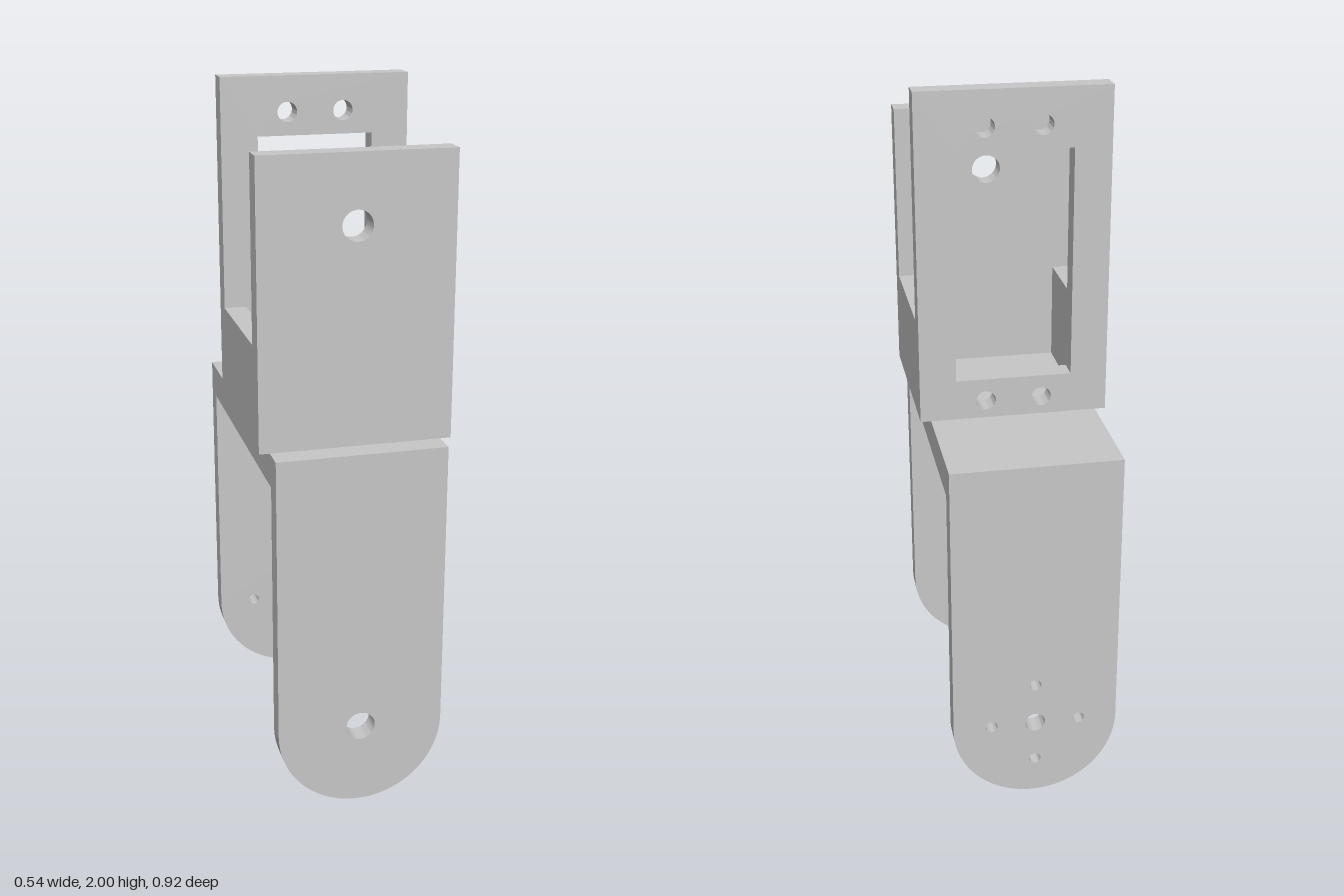
import * as THREE from 'three';
import { toCreasedNormals } from 'three/addons/utils/BufferGeometryUtils.js';

export function createModel() {
  const model = new THREE.Group();
  model.name = 'servoBracket';
  const grey = new THREE.MeshStandardMaterial({ color: 0xc7c7c7 });
  grey.name = 'lightGrey';

  const add = (name, geometry, x, y, z) => {
    const mesh = new THREE.Mesh(geometry, grey);
    mesh.name = name;
    mesh.position.set(x, y, z);
    model.add(mesh);
  };

  // Flat plate from an outline, with round holes given as [x, y, radius]
  const plate = (name, shape, holes, z0, z1) => {
    for (const [x, y, r] of holes) {
      shape.holes.push(new THREE.Path().absarc(x, y, r, 0, Math.PI * 2, true));
    }
    const geometry = new THREE.ExtrudeGeometry(shape, {
      depth: z1 - z0, bevelEnabled: false, curveSegments: 24,
    });
    add(name, toCreasedNormals(geometry, 0.6), 0, 0, z0);
  };

  const box = (name, x0, x1, y0, y1, z0, z1) => add(
    name, new THREE.BoxGeometry(x1 - x0, y1 - y0, z1 - z0),
    (x0 + x1) / 2, (y0 + y1) / 2, (z0 + z1) / 2,
  );

  const rectangle = (Type, w, y0, y1) => new Type([
    new THREE.Vector2(-w, y0), new THREE.Vector2(w, y0),
    new THREE.Vector2(w, y1), new THREE.Vector2(-w, y1),
  ]);

  // Lower fork: round-ended legs joined by a bridge
  const W = 0.239, deck = 1.065, pivot = 0.239;
  const legShape = () => {
    const s = new THREE.Shape();
    s.moveTo(W, deck);
    s.lineTo(-W, deck);
    s.lineTo(-W, pivot);
    s.absarc(0, pivot, W, Math.PI, Math.PI * 2, false);
    s.closePath();
    return s;
  };
  const d = 0.128, r = 0.017;
  plate('frontLeg', legShape(), [[0, pivot, 0.042]], 0.4, 0.46);
  plate('backLeg', legShape(), [
    [0, pivot, 0.029], [d, pivot, r], [-d, pivot, r], [0, pivot + d, r], [0, pivot - d, r],
  ], -0.46, -0.4);
  box('bridge', -W, W, 0.971, deck, -0.4, 0.4);

  // Upper cradle: front plate, windowed back plate and low side walls
  const H = 0.269;
  plate('frontPlate', rectangle(THREE.Shape, H, deck, 1.857), [[0, 1.667, 0.042]], 0.325, 0.39);
  const back = rectangle(THREE.Shape, H, deck, 2);
  back.holes.push(rectangle(THREE.Path, 0.165, 1.182, 1.835));
  const screws = [1.9, 1.117].flatMap((y) => [-0.08, 0.08].map((x) => [x, y, 0.028]));
  plate('backPlate', back, screws, -0.12, -0.057);
  box('leftWall', 0.206, H, deck, 1.35, -0.057, 0.325);
  box('rightWall', -H, -0.206, deck, 1.35, -0.057, 0.325);

  return model;
}
